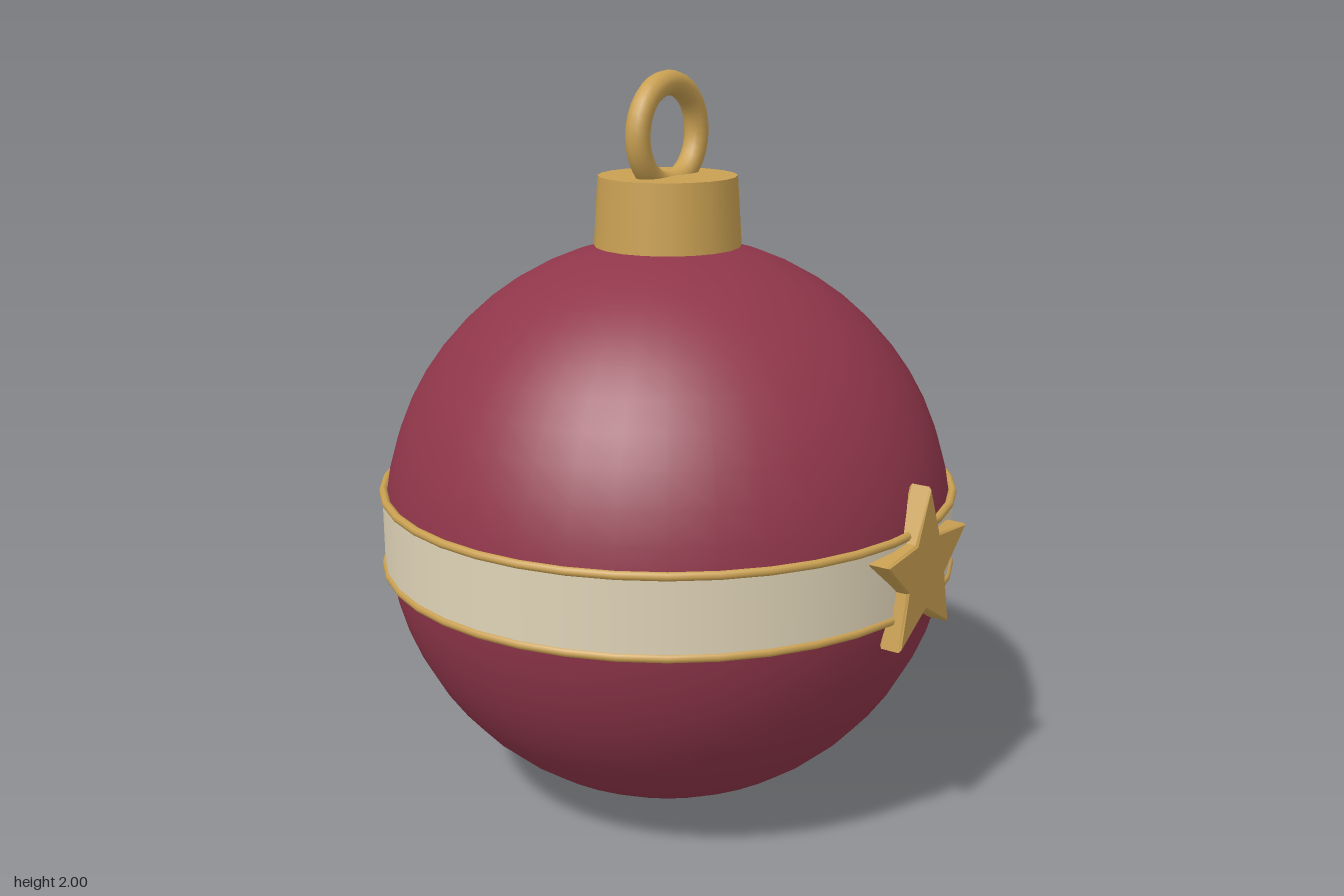
import * as THREE from 'three';

const material = (name, color) => {
  const m = new THREE.MeshStandardMaterial({ color });
  m.name = name;
  return m;
};

export function createModel() {
  const red = material('deep red', 0x90364a);
  const gold = material('gold', 0xc9a052);
  const cream = material('cream', 0xdfd3b7);
  const creamOpen = cream;
  creamOpen.side = THREE.DoubleSide;

  const group = new THREE.Group();
  group.name = 'bauble';
  const add = (name, geometry, mat, y, z = -0.008) => {
    const mesh = new THREE.Mesh(geometry, mat);
    mesh.name = name;
    mesh.position.set(0, y, z);
    group.add(mesh);
    return mesh;
  };

  // Round body
  add('ball', new THREE.SphereGeometry(0.78, 40, 28), red, 0.782);

  // Straight band with a thin gold trim on each edge
  const bandY = 0.787;
  add('band', new THREE.CylinderGeometry(0.785, 0.785, 0.205, 40, 1, true), creamOpen, bandY);
  for (const [name, side] of [['upperTrim', 1], ['lowerTrim', -1]]) {
    const trim = new THREE.TorusGeometry(0.782, 0.0115, 8, 40).rotateX(Math.PI / 2);
    add(name, trim, gold, bandY + side * 0.103);
  }

  // Cap and hanging ring
  add('cap', new THREE.CylinderGeometry(0.186, 0.198, 0.185, 20), gold, 1.635);
  add('hangingRing', new THREE.TorusGeometry(0.131, 0.033, 12, 32), gold, 1.836);

  // Five-pointed star with a slight bevel on the front of the band
  const points = [];
  for (let i = 0; i < 10; i++) {
    const r = i % 2 ? 0.105 : 0.222;
    const a = Math.PI / 2 + (i * Math.PI) / 5;
    points.push(new THREE.Vector2(r * Math.cos(a), r * Math.sin(a)));
  }
  const bevel = 0.006;
  const star = new THREE.ExtrudeGeometry(new THREE.Shape(points), {
    depth: 0.06 - 2 * bevel,
    bevelEnabled: true,
    bevelSize: bevel,
    bevelOffset: -bevel,
    bevelThickness: bevel,
    bevelSegments: 1,
  });
  add('star', star, gold, 0.79, 0.743 + bevel);

  return group;
}
